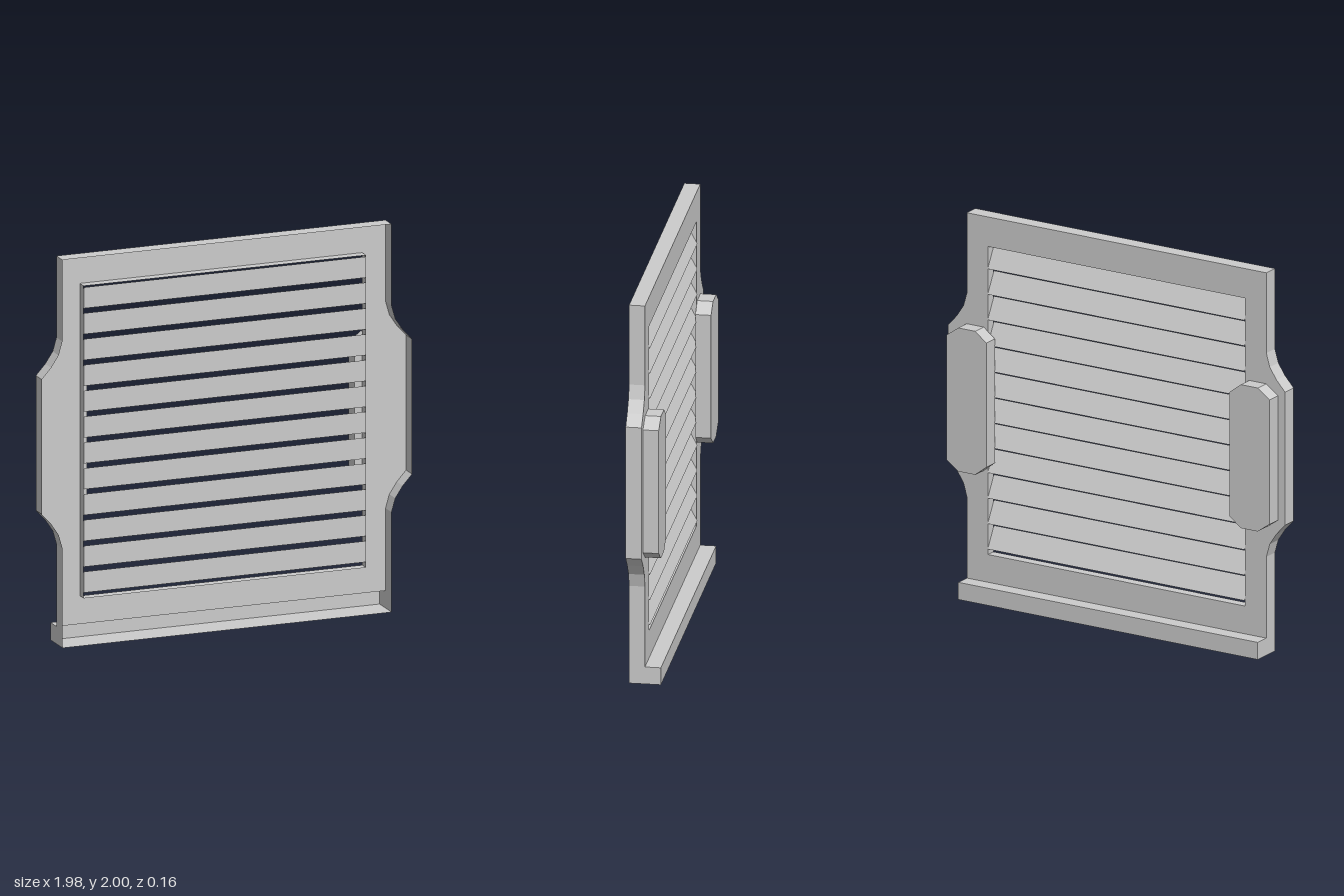
import * as THREE from 'three';

const sheetMat = new THREE.MeshStandardMaterial({ color: 0xcccccc, flatShading: true, side: THREE.DoubleSide });
const solidMat = new THREE.MeshStandardMaterial({ color: 0xcccccc, flatShading: true });

const DEPTH = 0.08;      // rim depth in front, ledge and grip depth behind
const HALF = 0.88;       // half width of the panel
const LEDGE = 0.09;      // ledge height
const HOLE = { x: 0.755, y0: 0.235, y1: 1.845 };
const SLAT_FRONT = 0.053;

const toShape = (pts) => new THREE.Shape(pts.map(([x, y]) => new THREE.Vector2(x, y)));

// Thin wall following a polyline in x/y, from z0 to z1
function wall(pts, z0, z1) {
  const pos = [], idx = [];
  pts.forEach(([x, y], i) => {
    pos.push(x, y, z0, x, y, z1);
    if (i) {
      const a = 2 * i - 2;
      idx.push(a, a + 2, a + 1, a + 1, a + 2, a + 3);
    }
  });
  const g = new THREE.BufferGeometry();
  g.setAttribute('position', new THREE.Float32BufferAttribute(pos, 3));
  g.setIndex(idx);
  const flat = g.toNonIndexed();
  flat.computeVertexNormals();
  return flat;
}

export function createModel() {
  const root = new THREE.Group();
  const add = (name, geo, mat = sheetMat, parent = root) => {
    const m = new THREE.Mesh(geo, mat);
    m.name = name;
    parent.add(m);
    return m;
  };

  // Right-hand edge with its flared wing, bottom to top; mirrored for the other edge
  const edge = [
    [HALF, 0.515], [0.9, 0.585], [0.94, 0.645], [0.99, 0.7],
    [0.99, 1.395], [0.94, 1.45], [0.9, 1.51], [HALF, 1.58], [HALF, 2],
  ];
  const mirrored = edge.map(([x, y]) => [-x, y]).reverse();

  // Back sheet with the louvre opening
  const sheet = toShape([[HALF, LEDGE], ...edge, ...mirrored, [-HALF, LEDGE]]);
  const { x: hx, y0, y1 } = HOLE;
  const opening = [[-hx, y0], [-hx, y1], [hx, y1], [hx, y0]];
  sheet.holes.push(toShape(opening));
  add('backSheet', new THREE.ShapeGeometry(sheet));

  // Outer rim, open to the front, and the rim around the opening
  add('outerRim', wall([[-HALF, 0], [HALF, 0], ...edge, ...mirrored, [-HALF, 0]], 0, DEPTH));
  add('openingRim', wall([...opening, opening[0]], 0, SLAT_FRONT - 0.002));

  // Hollow ledge along the bottom, projecting backwards
  const ledge = new THREE.Group();
  ledge.name = 'bottomLedge';
  root.add(ledge);
  const loop = [[-HALF, 0], [HALF, 0], [HALF, LEDGE], [-HALF, LEDGE], [-HALF, 0]];
  add('ledgeWalls', wall(loop, -DEPTH, 0), sheetMat, ledge);
  const back = add('ledgeBack', new THREE.PlaneGeometry(2 * HALF, LEDGE), sheetMat, ledge);
  back.position.set(0, LEDGE / 2, -DEPTH);

  // Wedge-shaped louvre slats: upright front, sloping back
  const slats = new THREE.Group();
  slats.name = 'louvreSlats';
  root.add(slats);
  const wedge = new THREE.ExtrudeGeometry(
    toShape([[-SLAT_FRONT, 0], [0.005, 0], [-SLAT_FRONT, 0.108]]),
    { depth: 2 * hx - 0.002, bevelEnabled: false },
  );
  wedge.translate(0, 0, -hx + 0.001).rotateY(Math.PI / 2);
  // the section's x axis now points to -z
  for (let i = 0; i < 12; i++) {
    const s = add('slat', wedge, solidMat, slats);
    s.position.y = 1.73 - i * 0.1332;
  }

  // Chamfered grip blocks on the back of each wing
  const gripPts = [
    [0.715, 0.72], [0.78, 0.67], [0.88, 0.67], [0.95, 0.72],
    [0.95, 1.37], [0.88, 1.42], [0.78, 1.42], [0.715, 1.37],
  ];
  for (const side of [1, -1]) {
    const geo = new THREE.ExtrudeGeometry(
      toShape(gripPts.map(([x, y]) => [x * side, y])),
      { depth: DEPTH - 0.001, bevelEnabled: false },
    );
    add(side > 0 ? 'leftGrip' : 'rightGrip', geo, solidMat).position.z = -DEPTH;
  }

  return root;
}
